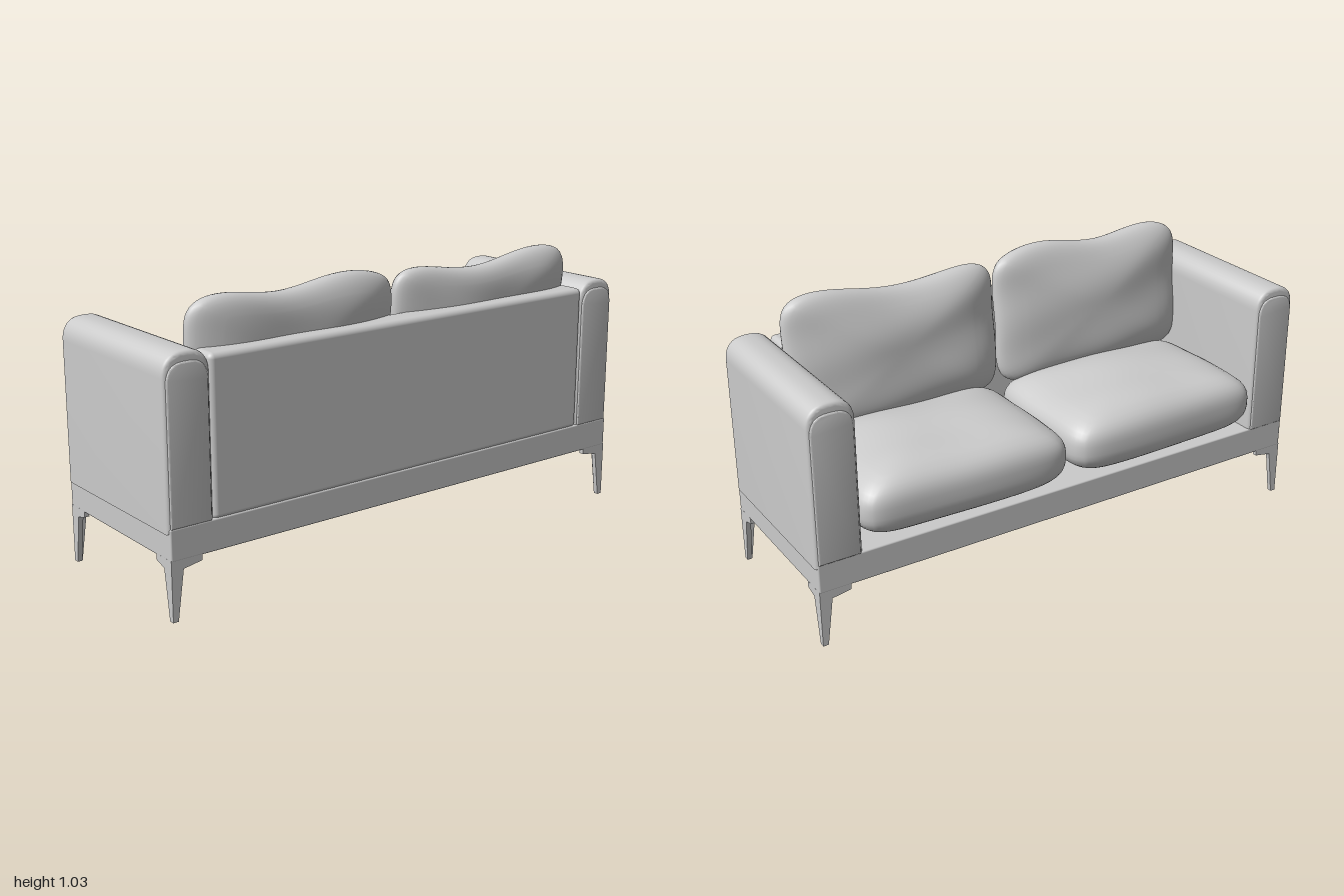
import * as THREE from 'three';
import { mergeVertices, toCreasedNormals } from 'three/addons/utils/BufferGeometryUtils.js';
import { RoundedBoxGeometry } from 'three/addons/geometries/RoundedBoxGeometry.js';

const material = new THREE.MeshStandardMaterial({ color: 0xcccccc });

function addMesh(parent, name, geometry) {
  const mesh = new THREE.Mesh(geometry, material);
  mesh.name = name;
  parent.add(mesh);
  return mesh;
}

// Upright panel with rounded top corners, extruded from z0 to z1 with a soft edge
function archedSlab(cx, half, y0, y1, z0, z1, r, bevel) {
  const a = half - bevel, b = y0 + bevel, t = y1 - bevel;
  const shape = new THREE.Shape();
  shape.moveTo(cx - a, b);
  shape.lineTo(cx + a, b);
  shape.lineTo(cx + a, t - r);
  shape.quadraticCurveTo(cx + a, t, cx + a - r, t);
  shape.lineTo(cx - a + r, t);
  shape.quadraticCurveTo(cx - a, t, cx - a, t - r);
  shape.closePath();
  const geometry = new THREE.ExtrudeGeometry(shape, {
    depth: z1 - z0 - 2 * bevel, bevelThickness: bevel, bevelSize: bevel, bevelSegments: 3, curveSegments: 10,
  });
  geometry.translate(0, 0, z0 + bevel);
  return toCreasedNormals(geometry, 0.6);
}

// Pillow: squarish outline in u, v and a bulging thickness in w; place() maps it to the model
function pillow(bulge, place) {
  let geometry = new THREE.BoxGeometry(2, 2, 2, 36, 28, 14);
  geometry.deleteAttribute('normal');
  geometry.deleteAttribute('uv');
  geometry = mergeVertices(geometry, 1e-4);
  const pos = geometry.attributes.position;
  for (let i = 0; i < pos.count; i++) {
    const u = pos.getX(i), v = pos.getY(i), w = pos.getZ(i);
    const outline = Math.pow(Math.abs(u) ** 8 + Math.abs(v) ** 8, 1 / 8);
    const k = 1 / Math.pow(outline ** bulge + Math.abs(w) ** bulge, 1 / bulge);
    pos.setXYZ(i, ...place(u * k, v * k, w * k));
  }
  geometry.computeVertexNormals();
  return geometry;
}

// Gentle fabric unevenness
const ripple = (u, v, s) => 0.006 * Math.sin(4.1 * u + 2.3 * v + s) * Math.cos(3.2 * v - 1.7 * u + 2 * s);

// Leg plate outline: tapering foot with a short bracket under the base
function legOutline(edge, dir, reach) {
  const points = [[0, 0], [0.02, 0], [0.045, 0.175], [reach, 0.187], [reach, 0.21], [0, 0.21]];
  return new THREE.Shape(points.map(([p, y]) => new THREE.Vector2(edge - dir * p, y)));
}

export function createModel() {
  const model = new THREE.Group();
  model.name = 'sofa';

  // Base frame
  addMesh(model, 'base', new RoundedBoxGeometry(1.99, 0.11, 0.668, 2, 0.006)).position.set(0, 0.26, 0.022);

  // Backrest panel
  addMesh(model, 'backPanel', new RoundedBoxGeometry(1.665, 0.55, 0.105, 4, 0.02)).position.set(0, 0.581, 0.302);

  for (const sx of [-1, 1]) {
    // Arm with a padded panel on each end
    const arm = new THREE.Group();
    arm.name = sx > 0 ? 'leftArm' : 'rightArm';
    model.add(arm);
    const cx = sx * 0.915;
    addMesh(arm, 'armBody', archedSlab(cx, 0.085, 0.295, 0.88, -0.312, 0.352, 0.065, 0.014));
    addMesh(arm, 'armBackPanel', archedSlab(cx, 0.076, 0.312, 0.848, 0.33, 0.357, 0.06, 0.006));
    addMesh(arm, 'armFrontPanel', archedSlab(cx, 0.076, 0.312, 0.848, -0.317, -0.29, 0.06, 0.006));

    // Seat cushion, slightly overhanging the base
    addMesh(model, 'seatCushion', pillow(3, (u, v, w) => {
      const crown = w > 0 ? 0.012 * w * (1 - u * u) + ripple(u, v, sx) * w : 0;
      const sway = v > 0 ? 0.006 * v * Math.cos(3 * u + sx) : 0;
      return [sx * 0.42 - 0.004 + 0.413 * u, 0.44 + 0.13 * w + crown, -0.058 - 0.29 * v - sway];
    }).rotateX(0));

    // Back cushion, leaning over the panel with a wavy top edge
    addMesh(model, 'backCushion', pillow(2.3, (u, v, w) => {
      const top = sx < 0
        ? 1.01 + 0.008 * u - 0.014 * Math.cos(5 * (u + 0.13))
        : 0.998 + 0.008 * u - 0.018 * Math.cos(3.9 * (u + 0.1));
      const y = 0.77 + (v > 0 ? (top - 0.77) * v : 0.26 * v);
      const lean = 0.202 + 0.09 * (y - 0.55);
      const belly = w < 0 ? 0.012 * w * (1 - u * u) * (1 - v) : 0;
      return [sx * 0.422 - 0.006 + 0.417 * u, y, lean + 0.074 * w + belly + ripple(u, v, 2 + sx) * 1.2];
    }));

    // Angle-section legs made of two plates
    for (const [edge, sz] of [[0.355, 1], [-0.311, -1]]) {
      const leg = new THREE.Group();
      leg.name = sz > 0 ? 'backLeg' : 'frontLeg';
      model.add(leg);
      const options = { depth: 0.018, bevelEnabled: false };
      const across = new THREE.ExtrudeGeometry(legOutline(sx * 0.995, sx, 0.115), options);
      across.translate(0, 0, sz > 0 ? edge - 0.018 : edge);
      addMesh(leg, 'legPlateAcross', across);
      const along = new THREE.ExtrudeGeometry(legOutline(edge, sz, 0.09), options);
      along.rotateY(-Math.PI / 2);
      along.translate(sx > 0 ? 0.995 : -0.977, 0, 0);
      addMesh(leg, 'legPlateAlong', along);
    }
  }
  return model;
}

// Seat pillow winding note: u stays on x, w points up and v points to the front, which keeps faces outward
